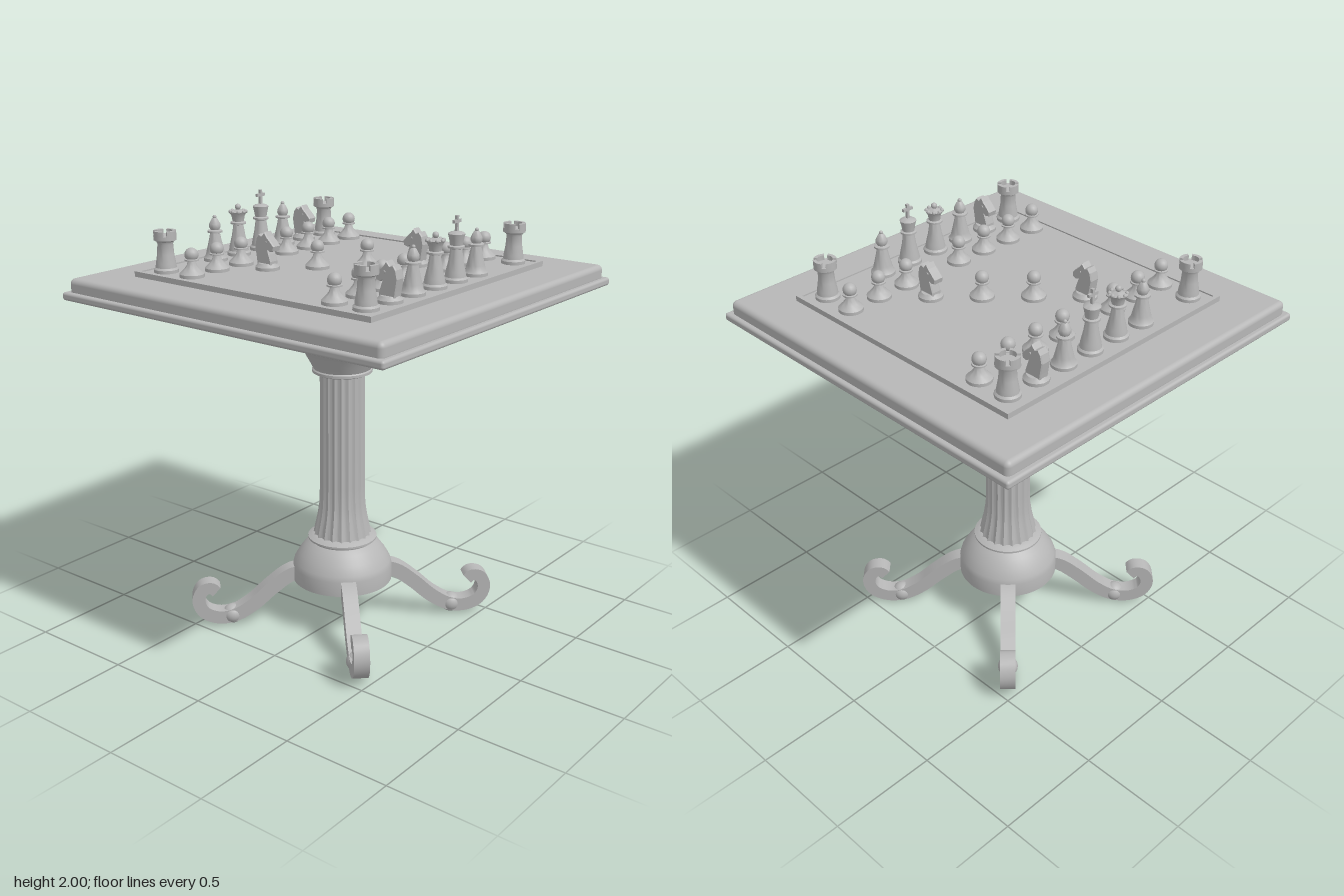
import * as THREE from 'three';
import { toCreasedNormals } from 'three/addons/utils/BufferGeometryUtils.js';
import { RoundedBoxGeometry } from 'three/addons/geometries/RoundedBoxGeometry.js';

const stone = new THREE.MeshStandardMaterial({ color: 0xb6b6b6 });
stone.name = 'plain grey';

const BOARD = 1.72; // height of the playing surface
const SQUARE = 0.156;

function add(parent, name, geometry, x = 0, y = 0, z = 0) {
  const mesh = new THREE.Mesh(geometry, stone);
  mesh.name = name;
  mesh.position.set(x, y, z);
  parent.add(mesh);
  return mesh;
}

function lathe(points, segments = 24, crease = 0.6) {
  const pts = points.map(([r, y]) => new THREE.Vector2(r, y));
  return toCreasedNormals(new THREE.LatheGeometry(pts, segments), crease);
}

const shapeOf = pts => new THREE.Shape(pts.map(([x, y]) => new THREE.Vector2(x, y)));
const ball = (r, w = 16, h = 12) => new THREE.SphereGeometry(r, w, h);
const foot = [[0, 0], [0.054, 0], [0.054, 0.014], [0.046, 0.022]];

// Fluted column: a lathe whose radius is scalloped around the axis
function flutedColumn(flutes) {
  const profile = [[0.138, 0.44], [0.13, 0.48], [0.117, 0.54], [0.108, 0.6], [0.105, 0.7], [0.103, 1.25]];
  const g = new THREE.LatheGeometry(profile.map(([r, y]) => new THREE.Vector2(r, y)), flutes * 6);
  const p = g.attributes.position;
  for (let i = 0; i < p.count; i++) {
    const a = Math.atan2(p.getX(i), p.getZ(i));
    const k = 1 - 0.06 * Math.abs(Math.sin(a * flutes / 2));
    p.setXYZ(i, p.getX(i) * k, p.getY(i), p.getZ(i) * k);
  }
  return toCreasedNormals(g, 0.5);
}

// Scrolled leg: a curved band of even thickness, extruded sideways
function legGeometry() {
  const curve = new THREE.CatmullRomCurve3([
    [0.16, 0.268], [0.25, 0.25], [0.34, 0.185], [0.43, 0.105], [0.52, 0.054], [0.6, 0.048],
    [0.665, 0.08], [0.688, 0.14], [0.665, 0.192], [0.625, 0.2], [0.603, 0.18],
  ].map(([x, y]) => new THREE.Vector3(x, y, 0)));
  const lower = [], upper = [];
  const n = 44;
  for (let i = 0; i <= n; i++) {
    const p = curve.getPoint(i / n), t = curve.getTangent(i / n);
    const h = 0.036 - 0.008 * i / n;
    lower.push([p.x + t.y * h, p.y - t.x * h]);
    upper.unshift([p.x - t.y * h, p.y + t.x * h]);
  }
  const width = 0.07;
  const g = new THREE.ExtrudeGeometry(shapeOf([...lower, ...upper]), { depth: width, bevelEnabled: false });
  g.translate(0, 0, -width / 2);
  return toCreasedNormals(g, 0.6);
}

function buildPedestal(group) {
  add(group, 'pedestalBase', lathe([
    [0, 0.22], [0.235, 0.22], [0.235, 0.29], [0.228, 0.315], [0.205, 0.355], [0.175, 0.395], [0.15, 0.415], [0, 0.415],
  ], 48));
  add(group, 'lowerCollar', lathe([
    [0, 0.408], [0.145, 0.408], [0.15, 0.422], [0.162, 0.426], [0.162, 0.435], [0.148, 0.442], [0.13, 0.45], [0, 0.45],
  ], 48));
  add(group, 'flutedColumn', flutedColumn(20));
  add(group, 'upperCollar', lathe([
    [0, 1.238], [0.125, 1.238], [0.138, 1.244], [0.138, 1.256], [0.13, 1.264], [0, 1.264],
  ], 48));
  add(group, 'flaredCapital', lathe([
    [0, 1.255], [0.132, 1.26], [0.15, 1.295], [0.172, 1.335], [0.2, 1.378], [0.26, 1.445],
    [0.315, 1.505], [0.355, 1.55], [0.378, 1.58], [0.387, 1.61], [0, 1.61],
  ], 64));

  const legShape = legGeometry();
  for (let i = 0; i < 4; i++) {
    const leg = new THREE.Group();
    leg.name = 'scrolledLeg';
    leg.rotation.y = Math.PI / 4 + i * Math.PI / 2;
    add(leg, 'legScroll', legShape);
    add(leg, 'footBall', ball(0.047, 24, 16), 0.53, 0.05, 0);
    group.add(leg);
  }
}

function buildTop(group) {
  add(group, 'tableUnderside', new THREE.BoxGeometry(1.7, 0.03, 1.7), 0, 1.618, 0);
  add(group, 'tableMoulding', new RoundedBoxGeometry(1.735, 0.036, 1.735, 4, 0.012), 0, 1.624, 0);
  add(group, 'tableSlab', new RoundedBoxGeometry(1.69, 0.08, 1.69, 4, 0.024), 0, 1.662, 0);
  add(group, 'playingBoard', new THREE.BoxGeometry(1.25, 0.04, 1.25), 0, BOARD - 0.02, 0);
  // Raised lip around the board
  const square = h => [[-h, -h], [h, -h], [h, h], [-h, h]];
  const rim = shapeOf(square(0.643));
  rim.holes.push(shapeOf(square(0.623)));
  const g = new THREE.ExtrudeGeometry(rim, { depth: 0.035, bevelEnabled: false });
  add(group, 'boardRim', g.rotateX(-Math.PI / 2), 0, 1.691, 0);
}

// Each maker returns a list of [name, geometry] parts standing on y = 0
function pawnParts() {
  return [
    ['pawnBody', lathe([...foot, [0.034, 0.034], [0.022, 0.05], [0.017, 0.068], [0.031, 0.071],
      [0.031, 0.077], [0.015, 0.082], [0, 0.082]])],
    ['pawnHead', ball(0.03).translate(0, 0.096, 0)],
  ];
}

function rookParts() {
  const parts = [['rookBody', lathe([...foot, [0.044, 0.04], [0.037, 0.08], [0.034, 0.125], [0.038, 0.135],
    [0.05, 0.142], [0.05, 0.16], [0, 0.16]])]];
  // Four battlements with gaps on the diagonals
  const half = 0.6;
  const wall = new THREE.Shape();
  wall.absarc(0, 0, 0.05, -half, half, false);
  wall.absarc(0, 0, 0.034, half, -half, true);
  for (let i = 0; i < 4; i++) {
    const g = new THREE.ExtrudeGeometry(wall, { depth: 0.027, bevelEnabled: false, curveSegments: 6 });
    parts.push(['rookBattlement', g.rotateX(-Math.PI / 2).rotateY(i * Math.PI / 2).translate(0, 0.155, 0)]);
  }
  return parts;
}

function bishopParts() {
  return [['bishopBody', lathe([...foot, [0.04, 0.045], [0.029, 0.09], [0.022, 0.125], [0.034, 0.128],
    [0.034, 0.136], [0.02, 0.14], [0.026, 0.152], [0.025, 0.165], [0.014, 0.187], [0.006, 0.194]])],
  ['bishopTip', ball(0.009, 10, 8).translate(0, 0.197, 0)]];
}

function queenParts() {
  const parts = [['queenBody', lathe([...foot, [0.042, 0.045], [0.031, 0.09], [0.023, 0.14], [0.036, 0.144],
    [0.036, 0.152], [0.026, 0.156], [0.03, 0.18], [0.042, 0.2], [0.032, 0.2], [0.02, 0.207], [0, 0.212]])],
  ['queenTip', ball(0.014, 12, 8).translate(0, 0.221, 0)]];
  for (let i = 0; i < 8; i++) {
    const a = i * Math.PI / 4;
    parts.push(['crownPoint', ball(0.009, 8, 6).translate(0.035 * Math.cos(a), 0.2, 0.035 * Math.sin(a))]);
  }
  return parts;
}

function kingParts() {
  return [
    ['kingBody', lathe([...foot, [0.042, 0.045], [0.032, 0.09], [0.025, 0.14], [0.036, 0.144], [0.036, 0.152],
      [0.027, 0.156], [0.031, 0.18], [0.037, 0.204], [0.028, 0.21], [0, 0.217]])],
    ['crossUpright', new THREE.BoxGeometry(0.013, 0.07, 0.012).translate(0, 0.245, 0)],
    ['crossArm', new THREE.BoxGeometry(0.052, 0.013, 0.012).translate(0, 0.256, 0)],
  ];
}

function knightParts() {
  const head = shapeOf([[-0.036, 0.02], [-0.04, 0.05], [-0.048, 0.1], [-0.04, 0.135], [-0.028, 0.152],
    [-0.012, 0.146], [0.004, 0.164], [0.016, 0.146], [0.036, 0.128], [0.054, 0.108], [0.05, 0.09],
    [0.034, 0.086], [0.018, 0.094], [0.026, 0.07], [0.036, 0.04], [0.036, 0.02]]);
  const g = new THREE.ExtrudeGeometry(head, {
    depth: 0.036, bevelEnabled: true, bevelSize: 0.003, bevelThickness: 0.006, bevelSegments: 1,
  });
  g.translate(0, 0, -0.018).rotateY(-Math.PI / 2); // nose towards +z
  return [
    ['knightBase', lathe([...foot, [0.04, 0.03], [0, 0.03]])],
    ['knightHead', g],
    ['knightEyes', new THREE.CylinderGeometry(0.006, 0.006, 0.056, 10).rotateZ(Math.PI / 2).translate(0, 0.125, 0.012)],
  ];
}

export function createModel() {
  const model = new THREE.Group();
  model.name = 'chessTable';
  buildPedestal(model);
  buildTop(model);

  const sets = {
    pawn: pawnParts(), rook: rookParts(), knight: knightParts(),
    bishop: bishopParts(), queen: queenParts(), king: kingParts(),
  };
  // Column and row run 0 to 7, from -x and from -z
  function place(kind, column, row, side) {
    const piece = new THREE.Group();
    piece.name = kind;
    piece.position.set((column - 3.5) * SQUARE, BOARD, (row - 3.5) * SQUARE);
    if (side > 0) piece.rotation.y = Math.PI;
    for (const [name, geometry] of sets[kind]) add(piece, name, geometry);
    model.add(piece);
  }

  // Both sides have moved one pawn and one knight towards the middle
  const backRow = ['rook', 'knight', 'bishop', 'queen', 'king', 'bishop', 'knight', 'rook'];
  for (const side of [-1, 1]) {
    const row = n => (side < 0 ? n : 7 - n);
    const movedKnight = side < 0 ? 1 : 6;
    const movedPawn = side < 0 ? 3 : 4;
    backRow.forEach((kind, c) => {
      if (c === movedKnight) place(kind, side < 0 ? 2 : 5, row(2), side);
      else place(kind, c, row(0), side);
      place('pawn', c, c === movedPawn ? row(3) : row(1), side);
    });
  }
  return model;
}
